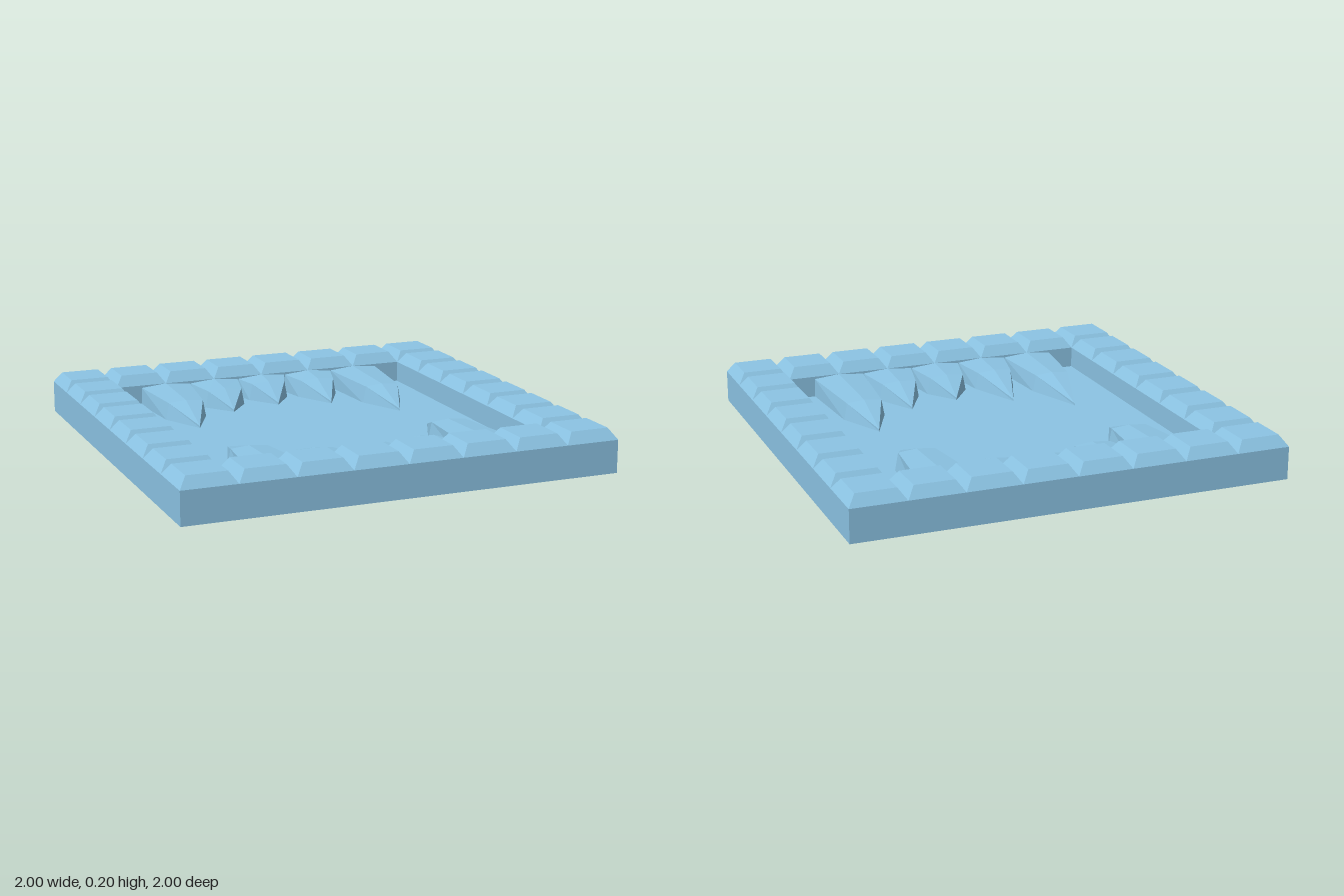
import * as THREE from 'three';

const FLOOR = 0.05, RIM = 0.15, TOP = 0.2, CELL = 0.25, INNER = 0.75;

const material = new THREE.MeshStandardMaterial({ color: 0x8cc4e4, flatShading: true });

function addMesh(parent, name, geometry) {
  const mesh = new THREE.Mesh(geometry, material);
  mesh.name = name;
  parent.add(mesh);
  return mesh;
}

// Square outline of a given half size
function square(Type, h) {
  const path = new Type();
  path.moveTo(-h, -h);
  path.lineTo(h, -h);
  path.lineTo(h, h);
  path.lineTo(-h, h);
  path.closePath();
  return path;
}

// Block with its top face drawn in, giving four sloped sides
function studGeometry() {
  const h = TOP - RIM;
  const geometry = new THREE.BoxGeometry(CELL, h, CELL);
  const p = geometry.attributes.position;
  for (let i = 0; i < p.count; i++) {
    if (p.getY(i) > 0) p.setXYZ(i, Math.sign(p.getX(i)) * 0.09, h / 2, Math.sign(p.getZ(i)) * 0.09);
  }
  geometry.computeVertexNormals();
  return geometry;
}

// Pointed tooth running along +z: wall section, shoulder section, tip
function toothGeometry(shoulder, length) {
  const sections = [
    { z: 0, foot: 0.125, edge: 0.123, side: 0.138, ridge: RIM },
    { z: shoulder, foot: 0.1, edge: 0.085, side: 0.13, ridge: 0.138 },
    { z: length, foot: 0, edge: 0, side: 0.06, ridge: 0.06 },
  ];
  const points = [], index = [];
  for (const s of sections) {
    points.push(-s.foot, FLOOR, s.z, -s.edge, s.side, s.z, 0, s.ridge, s.z,
      s.edge, s.side, s.z, s.foot, FLOOR, s.z);
  }
  for (let i = 0; i < 2; i++) {
    for (let j = 0; j < 4; j++) {
      const a = i * 5 + j, b = a + 1, c = a + 5, d = a + 6;
      index.push(a, c, b, b, c, d);
    }
  }
  const geometry = new THREE.BufferGeometry();
  geometry.setAttribute('position', new THREE.Float32BufferAttribute(points, 3));
  geometry.setIndex(index);
  geometry.computeVertexNormals();
  return geometry;
}

export function createModel() {
  const model = new THREE.Group();
  model.name = 'toothedTile';

  // Raised square rim
  const outline = square(THREE.Shape, 1);
  outline.holes.push(square(THREE.Path, INNER));
  const rim = new THREE.ExtrudeGeometry(outline, { depth: RIM, bevelEnabled: false });
  rim.rotateX(-Math.PI / 2);
  addMesh(model, 'rim', rim);

  // Sunken floor
  const floor = new THREE.BoxGeometry(2 * INNER, FLOOR, 2 * INNER);
  addMesh(model, 'floor', floor).position.y = FLOOR / 2;

  // Bevelled studs around the rim
  const studs = new THREE.Group();
  studs.name = 'rimStuds';
  model.add(studs);
  const stud = studGeometry();
  for (let i = 0; i < 8; i++) {
    for (let j = 0; j < 8; j++) {
      if (i % 7 && j % 7) continue;
      addMesh(studs, 'stud', stud)
        .position.set((i - 3.5) * CELL, (RIM + TOP) / 2, (j - 3.5) * CELL);
    }
  }

  // Two facing rows of teeth, each given as [shoulder, length], in order of x
  const rows = {
    backTeeth: [[0.31, 0.515], [0.16, 0.29], [0.1, 0.24], [0.13, 0.315], [0.36, 0.575]],
    frontTeeth: [[0.32, 0.6], [0.18, 0.43], [0.17, 0.31], [0.18, 0.37], [0.4, 0.62]],
  };
  for (const [name, teeth] of Object.entries(rows)) {
    const row = new THREE.Group();
    const front = name === 'frontTeeth';
    row.name = name;
    model.add(row);
    teeth.forEach(([shoulder, length], i) => {
      const tooth = addMesh(row, 'tooth', toothGeometry(shoulder, length));
      tooth.position.set((i - 2) * CELL, 0, front ? INNER : -INNER);
      if (front) tooth.rotation.y = Math.PI;
    });
  }

  return model;
}
